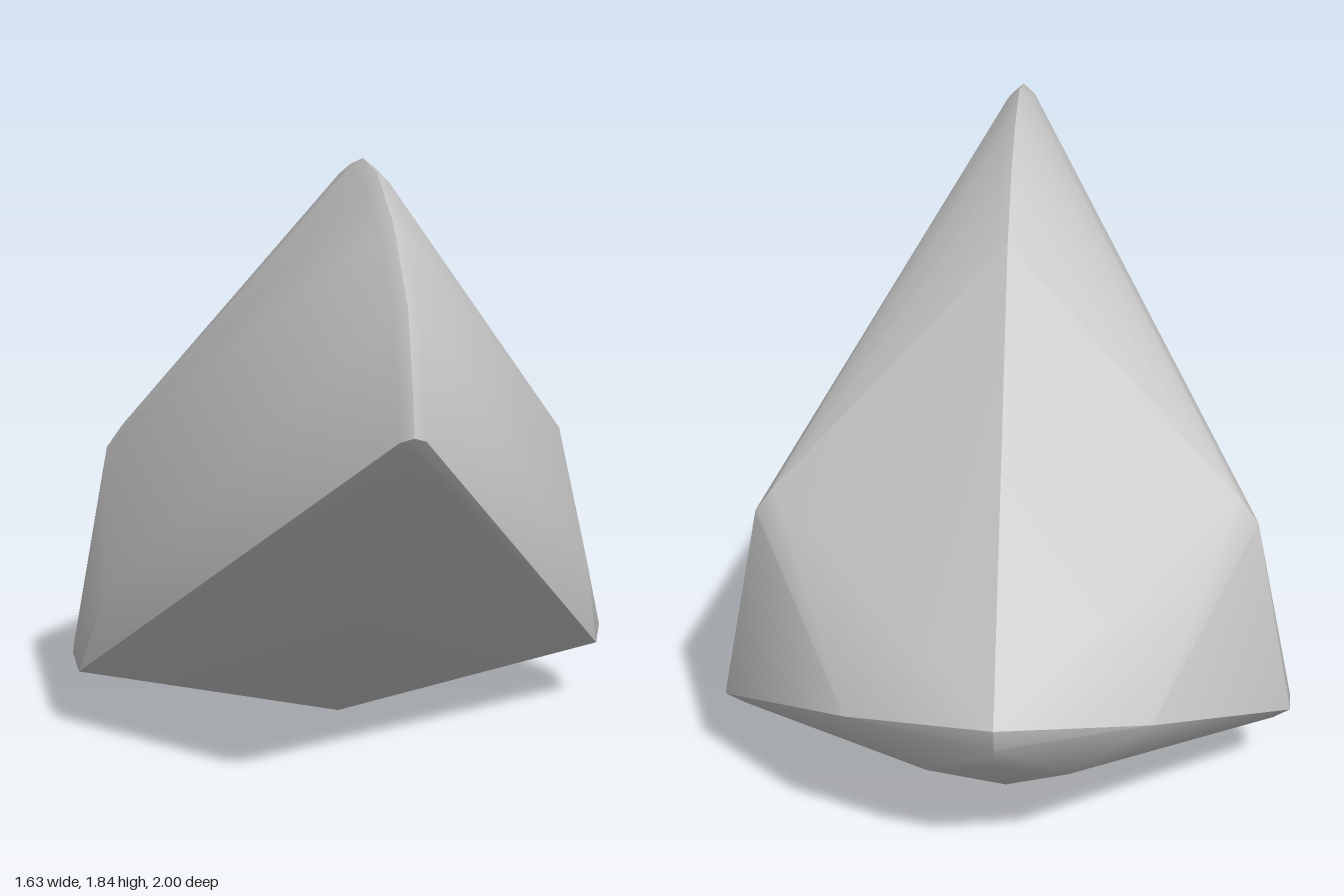
import * as THREE from 'three';
import { ConvexGeometry } from 'three/addons/geometries/ConvexGeometry.js';
import { mergeVertices, toCreasedNormals } from 'three/addons/utils/BufferGeometryUtils.js';

// Points on the centre line, [z, y], along the curved crest
const CREST = [[1, 1.3], [0.97, 1.41], [0.89, 1.6], [0.67, 1.76], [0.41, 1.84], [0.16, 1.835], [-0.06, 1.78], [-0.26, 1.65]];

// Rest of the centre line: tail end, underside and the chin below the tip
const KEEL = [[-1, 0.62], [-0.985, 0.55], [-0.92, 0.45], [-0.4, 0.005], [-0.37, 0], [-0.34, 0.008], [0.965, 1.25]];

// Corners of one flank, [x, y, z]; mirrored for the other
const FLANK = [
  [0.64, 0.96, -0.37], [0.69, 0.89, -0.37], // shoulder
  [0.71, 0.57, -0.06], // cheek
  [0.41, 0.52, -0.81], // rear corner
  [0.19, 0.36, -0.82], // rear underside
  [0.81, 0.27, -0.36], [0.815, 0.27, -0.29], [0.8, 0.22, -0.26], [0.77, 0.2, -0.3], // rounded foot
];

export function createModel() {
  const group = new THREE.Group();
  const points = [...CREST, ...KEEL].map(([z, y]) => new THREE.Vector3(0, y, z));

  for (const side of [-1, 1]) {
    for (const [x, y, z] of FLANK) points.push(new THREE.Vector3(side * x, y, z));
    // Bevel beside the crest, pulled slightly towards the middle of the body
    for (const [z, y] of CREST) {
      points.push(new THREE.Vector3(side * 0.033, y - 0.022 * (y - 0.6), z - 0.022 * (z - 0.1)));
    }
  }

  // Weld the hull, then shade bevels smooth and keep large edges sharp
  const hull = new ConvexGeometry(points);
  hull.deleteAttribute('normal');
  const geometry = toCreasedNormals(mergeVertices(hull, 1e-4), 0.65);

  const body = new THREE.Mesh(geometry, new THREE.MeshStandardMaterial({ color: 0xcccccc }));
  body.name = 'facetedBody';
  group.add(body);
  return group;
}
